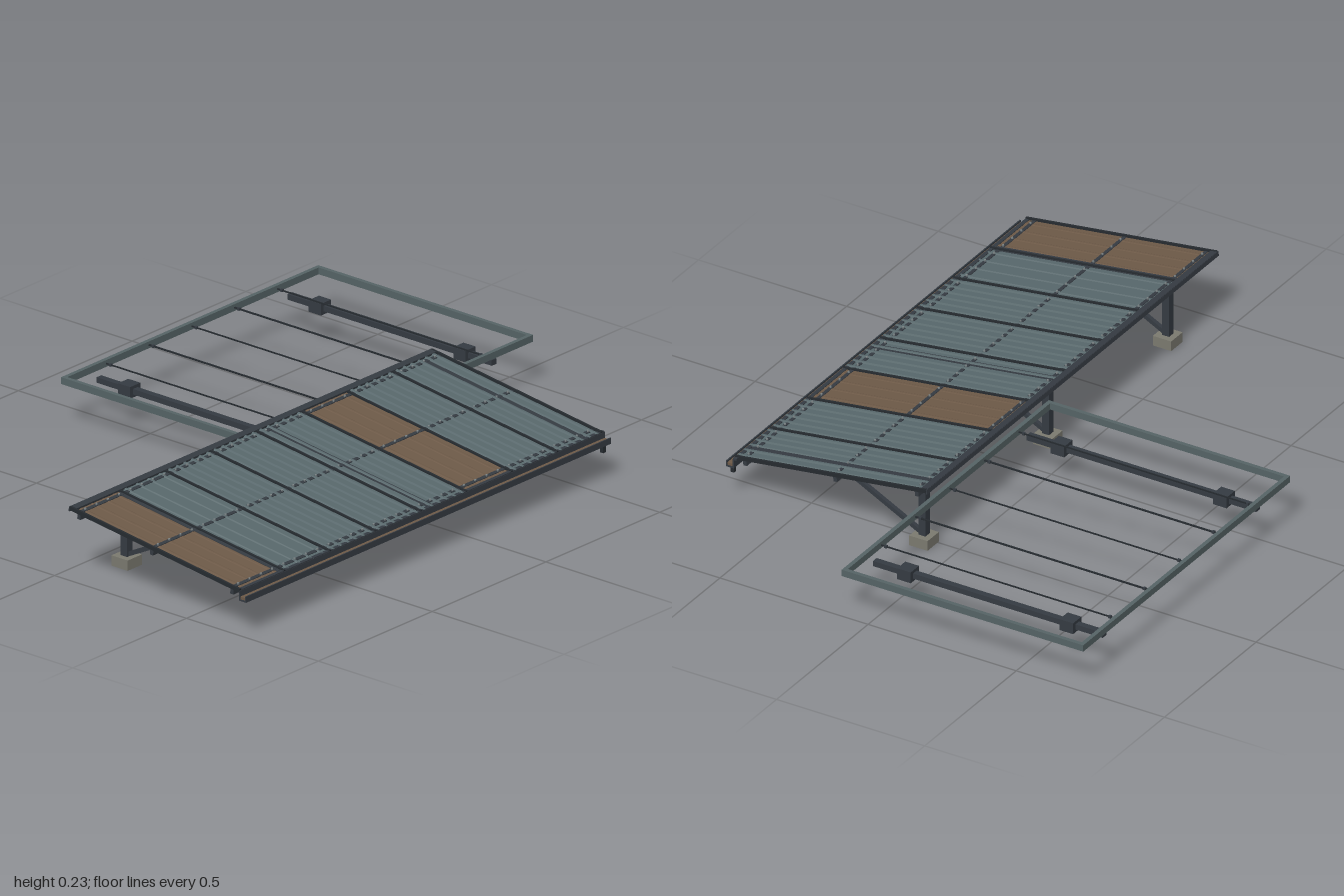
import * as THREE from 'three';

const mat = (name, color) => {
  const m = new THREE.MeshStandardMaterial({ color });
  m.name = name;
  return m;
};

export function createModel() {
  const slate = mat('slate sheet', 0x58686c);
  const brown = mat('weathered brown sheet', 0x6e5a48);
  const steel = mat('dark steel', 0x353b42);
  const trim = mat('black trim', 0x262b30);
  const frameGrey = mat('frame grey', 0x566466);
  const concrete = mat('concrete', 0x7b7a70);
  const boltGrey = mat('bolt grey', 0x7a8284);

  const model = new THREE.Group();
  model.name = 'shelterAndFrame';

  const box = (parent, name, material, size, pos) => {
    const mesh = new THREE.Mesh(new THREE.BoxGeometry(...size), material);
    mesh.name = name;
    mesh.position.set(...pos);
    parent.add(mesh);
    return mesh;
  };

  // Square bar in the yz plane, from [y, z] to [y, z]
  const strut = (parent, name, material, x, [y0, z0], [y1, z1], t) => {
    const bar = box(parent, name, material, [t, t, Math.hypot(y1 - y0, z1 - z0)],
      [x, (y0 + y1) / 2, (z0 + z1) / 2]);
    bar.rotation.x = -Math.atan2(y1 - y0, z1 - z0);
    return bar;
  };

  // Sloping roof: local y = 0 is the top of the sheet
  const roof = new THREE.Group();
  roof.name = 'roof';
  roof.position.set(0, 0.179, 0.3775);
  roof.rotation.x = Math.atan(0.133);
  model.add(roof);

  const left = -0.995, right = 0.592, length = 0.65, count = 8;
  const edges = [left, -0.8, -0.6, -0.4, -0.2, 0, 0.2, 0.4, right];

  // Ribbed sheet: a profile across x, extruded down the slope
  const sheet = (x0, x1, ribs, height) => {
    const w = x1 - x0, pitch = w / ribs, t = 0.003;
    const points = [[0, 0]];
    for (let i = 0; i < ribs; i++) {
      const c = (i + 0.5) * pitch;
      points.push([c - 0.006, 0], [c - 0.003, height], [c + 0.003, height], [c + 0.006, 0]);
    }
    points.push([w, 0]);
    const under = points.map(([x, y]) => [x, y - t]).reverse();
    const shape = new THREE.Shape([...points, ...under].map(([x, y]) => new THREE.Vector2(x, y)));
    const geometry = new THREE.ExtrudeGeometry(shape, { depth: length, bevelEnabled: false });
    geometry.translate(x0, 0, -length / 2);
    return geometry;
  };

  for (let i = 0; i < count; i++) {
    const isBrown = i === 0 || i === 5;
    const plain = isBrown || i === 1;
    const panel = new THREE.Mesh(
      sheet(edges[i], edges[i + 1], plain ? 4 : 6, isBrown ? 0.001 : plain ? 0.003 : 0.005),
      isBrown ? brown : slate);
    panel.name = isBrown ? 'brownRoofPanel' : 'slateRoofPanel';
    roof.add(panel);
  }

  // Seams between panels and edge trims
  edges.forEach((x, i) => {
    const end = i === 0 || i === count;
    box(roof, end ? 'edgeTrim' : 'panelSeam', trim, [0.007, end ? 0.012 : 0.009, length], [x, 0.001, 0]);
  });

  // Purlins across the roof, with bolts
  const middle = (left + right) / 2, span = right - left;
  for (const z of [-0.29, -0.012, 0.295]) {
    box(roof, 'purlin', steel, [span, 0.024, 0.012], [middle, -0.01, z]);
    for (let i = 0; i < 32; i++) {
      const bolt = new THREE.Mesh(new THREE.CylinderGeometry(0.0035, 0.0035, 0.005, 6), boltGrey);
      bolt.name = 'bolt';
      bolt.position.set(left + (i + 0.5) * span / 32, 0.004, z);
      roof.add(bolt);
    }
  }

  // Cap along the high edge
  box(roof, 'ridgeCap', steel, [span + 0.006, 0.006, 0.022], [middle, 0.003, -0.316]);
  box(roof, 'ridgeCapLip', steel, [span + 0.006, 0.014, 0.004], [middle, -0.002, -0.326]);

  // Gutter along the low edge, with a brown lining and a downpipe
  const gutter = new THREE.Group();
  gutter.name = 'gutter';
  model.add(gutter);
  const gx = -0.196, gw = 1.604;
  box(gutter, 'gutterFloor', steel, [gw, 0.005, 0.026], [gx, 0.109, 0.711]);
  box(gutter, 'gutterFront', steel, [gw, 0.018, 0.004], [gx, 0.116, 0.722]);
  box(gutter, 'gutterBack', steel, [gw, 0.03, 0.004], [gx, 0.122, 0.699]);
  box(gutter, 'gutterLining', brown, [gw - 0.004, 0.008, 0.019], [gx, 0.1155, 0.7105]);
  box(gutter, 'gutterHook', steel, [gw, 0.006, 0.012], [gx, 0.137, 0.694]);
  box(gutter, 'downpipe', trim, [0.012, 0.03, 0.012], [0.586, 0.098, 0.711]);

  // Supports: footing, post, brace and rafter
  for (const x of [-0.805, -0.15, 0.525]) {
    box(model, 'footing', concrete, [0.062, 0.032, 0.062], [x, 0.016, 0.105]);
    box(model, 'post', steel, [0.024, 0.172, 0.024], [x, 0.116, 0.105]);
    strut(model, 'brace', steel, x, [0.036, 0.11], [0.165, 0.365], 0.013);
    box(roof, 'rafter', steel, [0.024, 0.026, 0.61], [x, -0.0115, 0.006]);
  }

  // Flat open frame beside the shelter
  const frame = new THREE.Group();
  frame.name = 'openFrame';
  frame.position.set(0.435, 0.144, -0.3185);
  model.add(frame);
  const fw = 1.13, fd = 0.815, ft = 0.013, fh = 0.021;
  for (const s of [-1, 1]) {
    box(frame, 'frameLongRail', frameGrey, [fw, fh, ft], [0, 0, s * (fd - ft) / 2]);
    box(frame, 'frameSideRail', frameGrey, [ft, fh, fd - 2 * ft], [s * (fw - ft) / 2, 0, 0]);
  }
  for (let i = -2; i <= 2; i++) {
    const x = i * 0.188 - 0.005;
    const w = i % 2 ? 0.005 : 0.003;
    box(frame, 'wire', trim, [w, 0.004, fd - ft], [x, 0, 0]);
    for (const s of [-1, 1]) box(frame, 'wireClamp', steel, [0.008, 0.008, 0.008], [x, 0, s * 0.378]);
  }

  // Beams under the frame with mounting blocks
  for (const x of [0.012, 0.85]) {
    box(model, 'underBeam', steel, [0.02, 0.017, 0.775], [x, 0.111, -0.3175]);
    for (const z of [-0.042, -0.59])
      box(model, 'mountingBlock', steel, [0.045, 0.036, 0.046], [x, 0.111, z]);
  }
  return model;
}
